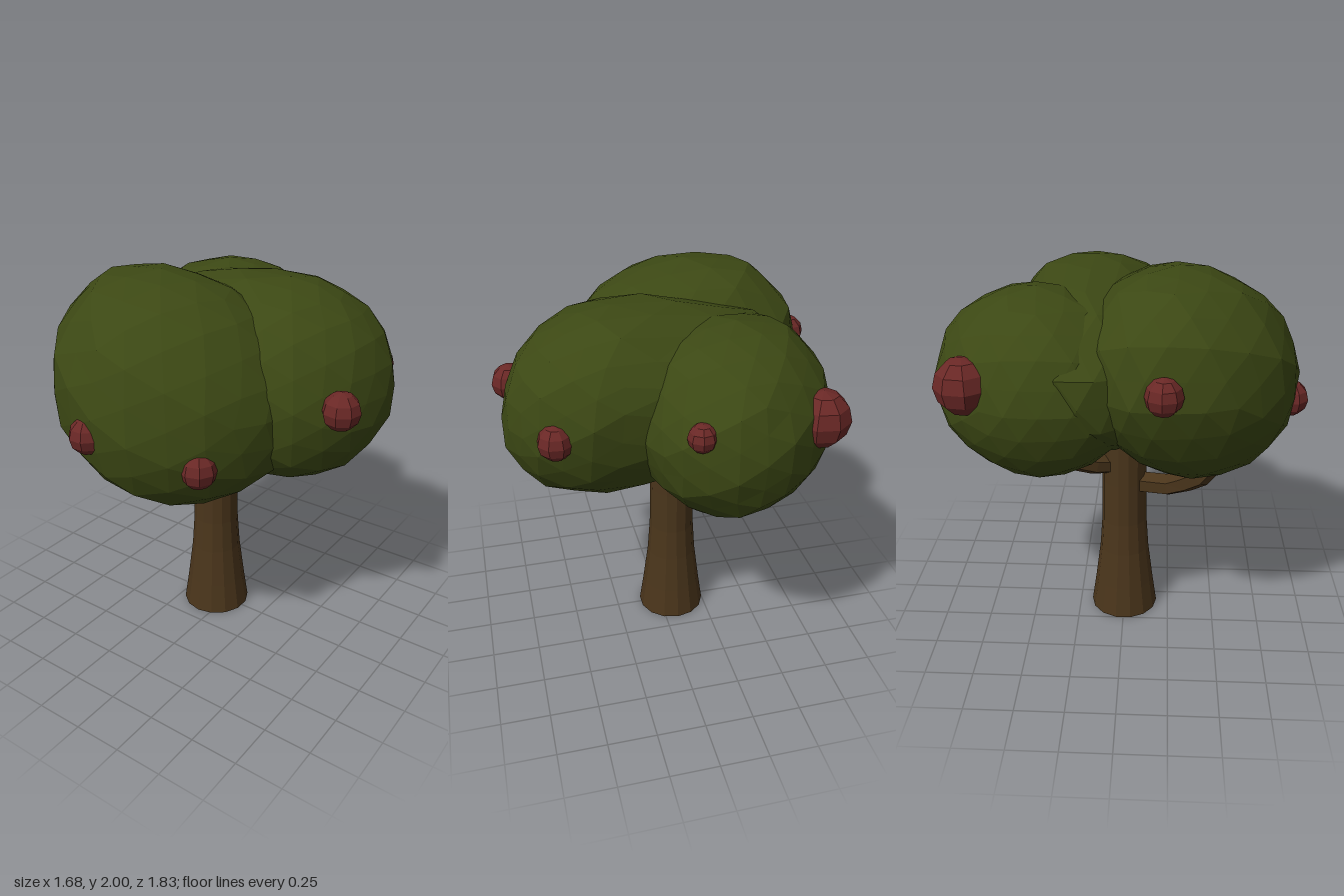
import * as THREE from 'three';

const mat = (color) => new THREE.MeshStandardMaterial({ color, flatShading: true });
const bark = mat(0x4a351b);
const leaf = mat(0x3c4814);
const fruit = mat(0x6a2826);

function addMesh(group, name, geometry, material) {
  const mesh = new THREE.Mesh(geometry, material);
  mesh.name = name;
  group.add(mesh);
  return mesh;
}

// Faceted leaf mass: a leaning, bent and slightly lumpy ellipsoid
function crownGeometry([cx, cy, cz], [rx, ry, rz], { leanX, leanZ, tilt, twist, bend, tail }, seed) {
  const g = new THREE.IcosahedronGeometry(1, 3);
  const p = g.attributes.position;
  const v = new THREE.Vector3();
  const n = 2.1;
  for (let i = 0; i < p.count; i++) {
    v.fromBufferAttribute(p, i).normalize();
    const boxy = (Math.hypot(v.x, v.z) ** n + Math.abs(v.y) ** n) ** (-1 / n);
    const lump = 1.01 + 0.015 * Math.sin(9 * v.x + seed) * Math.cos(8 * v.z - seed)
      + 0.01 * Math.sin(11 * v.y + 6 * v.x + seed * 2);
    const { x, y, z } = v.multiplyScalar(boxy * lump);
    p.setXYZ(i,
      cx + rx * x * (x < 0 ? tail : 1) + leanX * y,
      cy + ry * y + tilt * x,
      cz + rz * z + leanZ * y + twist * x - bend * x * x);
  }
  g.computeVertexNormals();
  return g;
}

export function createModel() {
  const tree = new THREE.Group();
  tree.name = 'fruitTree';

  // Flared trunk, closed at the base
  const profile = [[0, 0], [0.184, 0], [0.16, 0.17], [0.134, 0.38], [0.122, 0.56], [0.119, 0.8], [0.119, 1.2], [0, 1.2]]
    .map(([x, y]) => new THREE.Vector2(x, y));
  addMesh(tree, 'trunk', new THREE.LatheGeometry(profile, 14), bark).position.x = -0.07;

  // Bent branches reaching into each leaf mass
  const branches = [
    ['frontBranch', 0.062, [[-0.08, 0.79, 0.02], [-0.14, 0.8, 0.26], [-0.24, 0.93, 0.43], [-0.27, 1.1, 0.5]]],
    ['sideBranch', 0.045, [[-0.05, 0.89, 0], [0.12, 0.892, 0], [0.26, 1.0, -0.01], [0.36, 1.12, -0.03]]],
    ['backBranch', 0.055, [[-0.08, 0.89, -0.03], [-0.17, 0.93, -0.16], [-0.24, 1.0, -0.3], [-0.28, 1.12, -0.38]]],
  ];
  for (const [name, r, pts] of branches) {
    const points = pts.map((q) => new THREE.Vector3(...q));
    const curve = new THREE.CatmullRomCurve3(points, false, 'catmullrom', 0.12);
    addMesh(tree, name, new THREE.TubeGeometry(curve, 6, r, 6), bark);
  }

  // Three overlapping leaf masses; the side one trails right across the tree
  const crowns = [
    ['frontCrown', [-0.13, 1.45, 0.325], [0.635, 0.54, 0.54],
      { leanX: -0.06, leanZ: -0.06, tilt: -0.04, twist: 0, bend: 0.11, tail: 1 }, 0.6],
    ['sideCrown', [0.31, 1.455, -0.11], [0.5, 0.48, 0.495],
      { leanX: -0.04, leanZ: -0.05, tilt: -0.02, twist: 0, bend: 0.07, tail: 2.05 }, 2.1],
    ['backCrown', [-0.26, 1.44, -0.415], [0.475, 0.46, 0.5],
      { leanX: 0, leanZ: 0.01, tilt: 0, twist: -0.06, bend: 0, tail: 1 }, 4.0],
  ];
  for (const [name, centre, radii, shape, seed] of crowns) {
    addMesh(tree, name, crownGeometry(centre, radii, shape, seed), leaf);
  }

  // Fruit half sunk in the leaves: x, y, z, radius, turn
  const fruits = [
    [-0.2, 1.34, 0.83, 0.09, 0],
    [0.29, 1.225, 0.635, 0.092, 0.3],
    [0.745, 1.455, 0.15, 0.095, 0.6],
    [-0.755, 1.565, 0.2, 0.09, 0.3],
    [0.6, 1.455, -0.52, 0.087, 0.7],
    [0.01, 1.57, -0.83, 0.067, 0.2],
    [-0.58, 1.53, -0.71, 0.138, 0.65],
  ];
  fruits.forEach(([x, y, z, r, turn], i) => {
    const ball = addMesh(tree, `fruit${i + 1}`, new THREE.SphereGeometry(r, 8, 6), fruit);
    ball.position.set(x, y, z);
    ball.rotation.y = turn + Math.PI / 8;
  });

  return tree;
}
